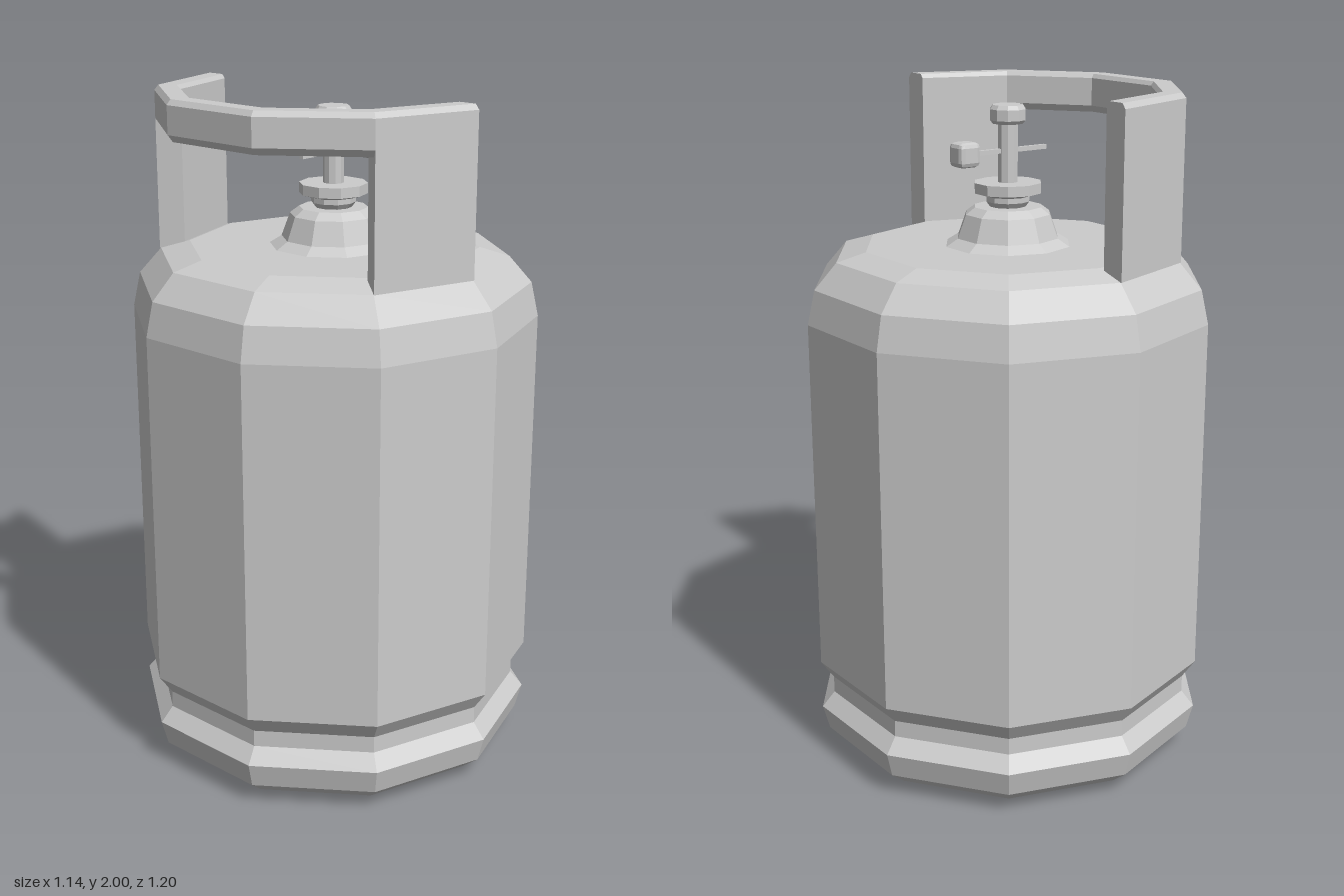
import * as THREE from 'three';
import { mergeGeometries } from 'three/addons/utils/BufferGeometryUtils.js';
import { RoundedBoxGeometry } from 'three/addons/geometries/RoundedBoxGeometry.js';

const SIDES = 10;
const STEP = (Math.PI * 2) / SIDES;
const material = new THREE.MeshStandardMaterial({ color: 0xcccccc, flatShading: true });

function part(name, geometry) {
  const mesh = new THREE.Mesh(geometry, material);
  mesh.name = name;
  return mesh;
}

// Ten-sided turned part from [radius, height] points, bottom to top
function turned(name, profile) {
  const points = profile.map(([r, y]) => new THREE.Vector2(r, y));
  return part(name, new THREE.LatheGeometry(points, SIDES));
}

// Cross-section swept around the axis for a few sides and capped at both ends
function arcPart(name, section, firstSide, sides) {
  const loop = [...section, section[0]].map(([r, y]) => new THREE.Vector2(r, y));
  const start = firstSide * STEP;
  const end = start + sides * STEP;
  const cap = (sign, turn) => new THREE.ShapeGeometry(
    new THREE.Shape(section.map(([r, y]) => new THREE.Vector2(sign * r, y)))
  ).rotateY(turn);
  return part(name, mergeGeometries([
    new THREE.LatheGeometry(loop, sides, start, end - start),
    cap(1, start - Math.PI / 2),
    cap(-1, end + Math.PI / 2),
  ]));
}

export function createModel() {
  const model = new THREE.Group();
  model.name = 'gasCylinder';

  // Tank with a groove above the foot
  model.add(turned('tank', [
    [0, 0], [0.48, 0], [0.525, 0.02], [0.58, 0.065], [0.6, 0.14],
    [0.562, 0.185], [0.562, 0.235], [0.6, 0.29], [0.6, 1.35],
    [0.578, 1.45], [0.512, 1.525], [0.425, 1.55], [0, 1.55],
  ]));

  // Neck, collar nut, stem and knob of the valve
  const valve = new THREE.Group();
  valve.name = 'valve';
  valve.add(turned('neck', [
    [0.187, 1.55], [0.152, 1.572], [0.127, 1.64], [0.1, 1.66], [0, 1.66],
  ]));
  valve.add(turned('collarNut', [
    [0.05, 1.655], [0.065, 1.675], [0.065, 1.69], [0.1, 1.7], [0.1, 1.73], [0, 1.73],
  ]));
  valve.add(turned('stem', [[0.03, 1.72], [0.03, 1.91]]));
  valve.add(turned('knob', [
    [0, 1.897], [0.045, 1.897], [0.053, 1.907], [0.053, 1.938], [0.045, 1.95], [0, 1.95],
  ]));
  const rod = part('leverRod', new THREE.BoxGeometry(0.26, 0.013, 0.013));
  rod.position.set(-0.005, 1.82, 0);
  const grip = part('leverGrip', new RoundedBoxGeometry(0.07, 0.07, 0.066, 1, 0.014));
  grip.position.set(0.15, 1.82, 0);
  valve.add(rod, grip);
  model.add(valve);

  // Half-round carrying handle: two wide posts joined by a rail
  const handle = new THREE.Group();
  handle.name = 'handle';
  const top = [[0.515, 1.985], [0.503, 2], [0.449, 2], [0.44, 1.988]];
  const postSection = [[0.44, 1.525], [0.515, 1.525], ...top];
  const railSection = [[0.44, 1.905], [0.452, 1.885], [0.5, 1.885], [0.515, 1.905], ...top];
  handle.add(
    arcPart('backPost', postSection, 5, 1),
    arcPart('handleRail', railSection, 6, 3),
    arcPart('frontPost', postSection, 9, 1),
  );
  model.add(handle);

  return model;
}
